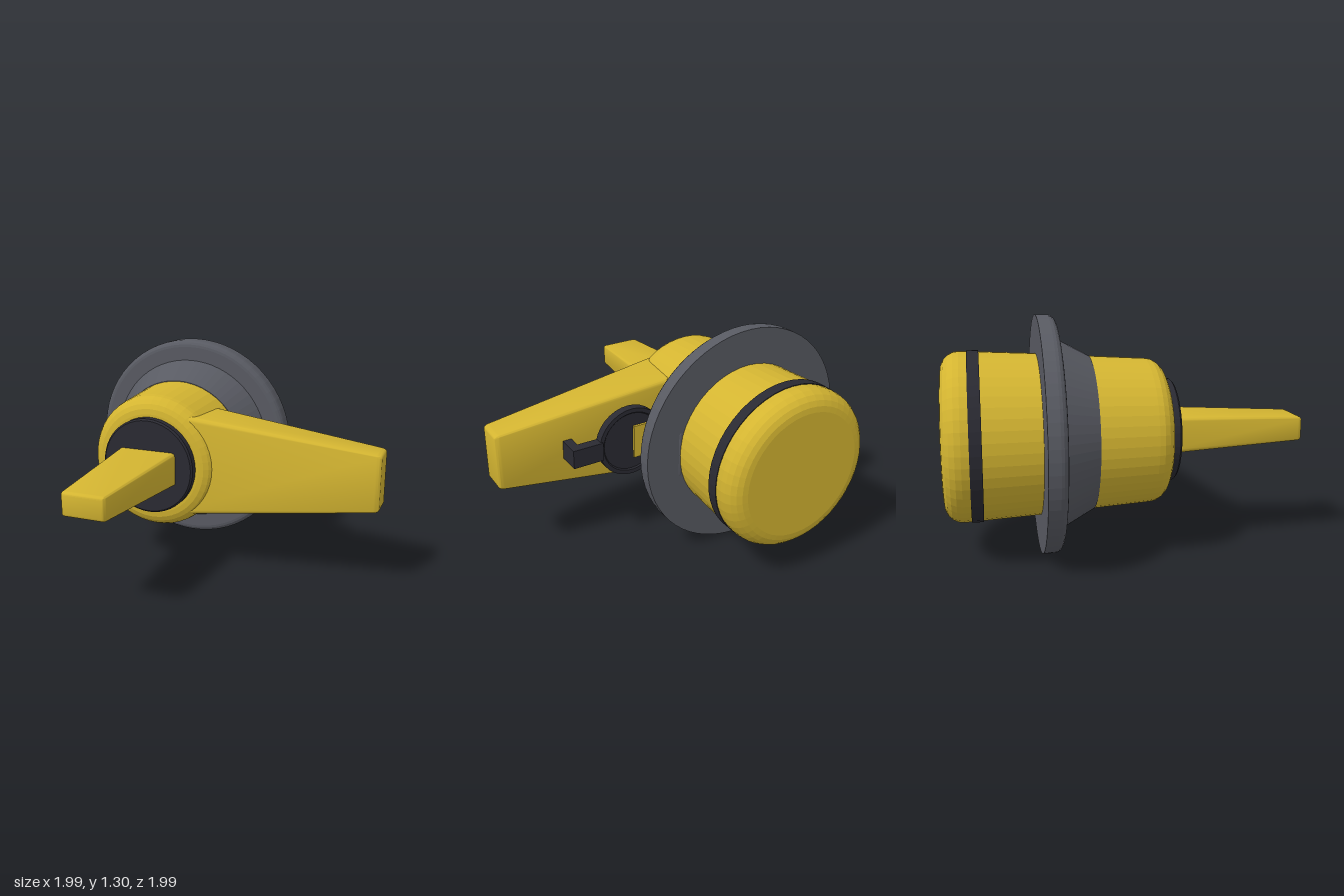
import * as THREE from 'three';
import { toCreasedNormals } from 'three/addons/utils/BufferGeometryUtils.js';
import { RoundedBoxGeometry } from 'three/addons/geometries/RoundedBoxGeometry.js';

const CX = -0.347, CY = 0.653; // main axis, running along z

export function createModel() {
  const group = new THREE.Group();
  const paint = (name, color) => {
    const m = new THREE.MeshStandardMaterial({ color });
    m.name = name;
    return m;
  };
  const yellow = paint('yellow', 0xd4b531);
  const grey = paint('grey', 0x585a62);
  const dark = paint('dark', 0x2a2a32);

  const add = (name, geo, mat, x = 0, y = 0, z = 0) => {
    const mesh = new THREE.Mesh(geo, mat);
    mesh.name = name;
    mesh.position.set(x, y, z);
    group.add(mesh);
    return mesh;
  };

  // Faceted solid of revolution about z; profile is [radius, z] from back to front
  const turned = (profile, sides = 48) => {
    const g = new THREE.LatheGeometry(profile.map(([r, z]) => new THREE.Vector2(r, z)), sides)
      .rotateX(Math.PI / 2).toNonIndexed();
    g.computeVertexNormals();
    return g;
  };

  // Quarter-round edge: centre (r, z), radius f, from angle a to b
  const fillet = (r, z, f, a, b, steps = 5) => Array.from({ length: steps + 1 }, (_, i) => {
    const t = a + (b - a) * i / steps;
    return [r + f * Math.cos(t), z + f * Math.sin(t)];
  });
  const H = Math.PI / 2;

  // Rounded bar along x from x0 to x1, tapering from [h0, d0] to [h1, d1]
  const taperedBar = (x0, x1, [h0, d0], [h1, d1], radius) => {
    const len = x1 - x0;
    const g = new RoundedBoxGeometry(len, h0, d0, 3, radius);
    const p = g.attributes.position;
    for (let i = 0; i < p.count; i++) {
      const t = p.getX(i) / len + 0.5;
      p.setXYZ(i, p.getX(i) + (x0 + x1) / 2,
        p.getY(i) * (1 + (h1 / h0 - 1) * t),
        p.getZ(i) * (1 + (d1 / d0 - 1) * t));
    }
    return toCreasedNormals(g, 0.6);
  };

  // Bodies on the main axis
  add('frontBody', turned([[0, -0.25], [0.423, -0.25], [0.422, -0.2],
    ...fillet(0.303, 0.11, 0.1, 0, H), [0, 0.21]]), yellow, CX, CY);
  add('rearBody', turned([[0, -0.995], ...fillet(0.362, -0.895, 0.1, -H, 0),
    [0.44, -0.45], [0, -0.45]]), yellow, CX, CY);
  add('rearBand', turned([[0.44, -0.855], [0.464, -0.855], [0.464, -0.792], [0.44, -0.792]]),
    dark, CX, CY);
  add('flange', turned([[0, -0.488], [0.65, -0.488],
    ...fillet(0.61, -0.425, 0.04, 0, H, 4), [0.525, -0.385], [0.425, -0.2], [0, -0.2]], 64),
  grey, CX, CY);
  add('frontCap', turned([[0, 0.19], [0.287, 0.19], [0.287, 0.25], [0.277, 0.26], [0, 0.26]]),
    dark, CX, CY);

  // Handles
  add('frontHandle', taperedBar(0.2, 0.997, [0.205, 0.368], [0.135, 0.255], 0.024)
    .rotateY(-H), yellow, CX, CY);
  add('sideHandle', taperedBar(-0.2, 0.992, [0.62, 0.345], [0.33, 0.175], 0.03),
    yellow, 0, CY + 0.002, 0.02);

  // Small round lid behind the side handle, with its yellow mount and hooked arm
  add('lidMount', new THREE.BoxGeometry(0.215, 0.2, 0.18), yellow, 0.127, CY, -0.14);
  add('lid', turned([[0, -0.216], [0.175, -0.216], [0.182, -0.224], [0.207, -0.224],
    [0.207, -0.175], [0, -0.175]], 32), dark, 0.245, CY + 0.005);
  add('lidArm', new THREE.BoxGeometry(0.184, 0.11, 0.06), dark, 0.525, CY, -0.206);
  add('lidHook', new THREE.BoxGeometry(0.053, 0.11, 0.135), dark, 0.59, CY, -0.168);

  // Slanted block let into the flange
  add('flangeBlock', toCreasedNormals(new RoundedBoxGeometry(0.2, 0.285, 0.17, 2, 0.02), 0.6),
    grey, 0.115, CY + 0.003, -0.371).rotation.y = -0.657;

  return group;
}
